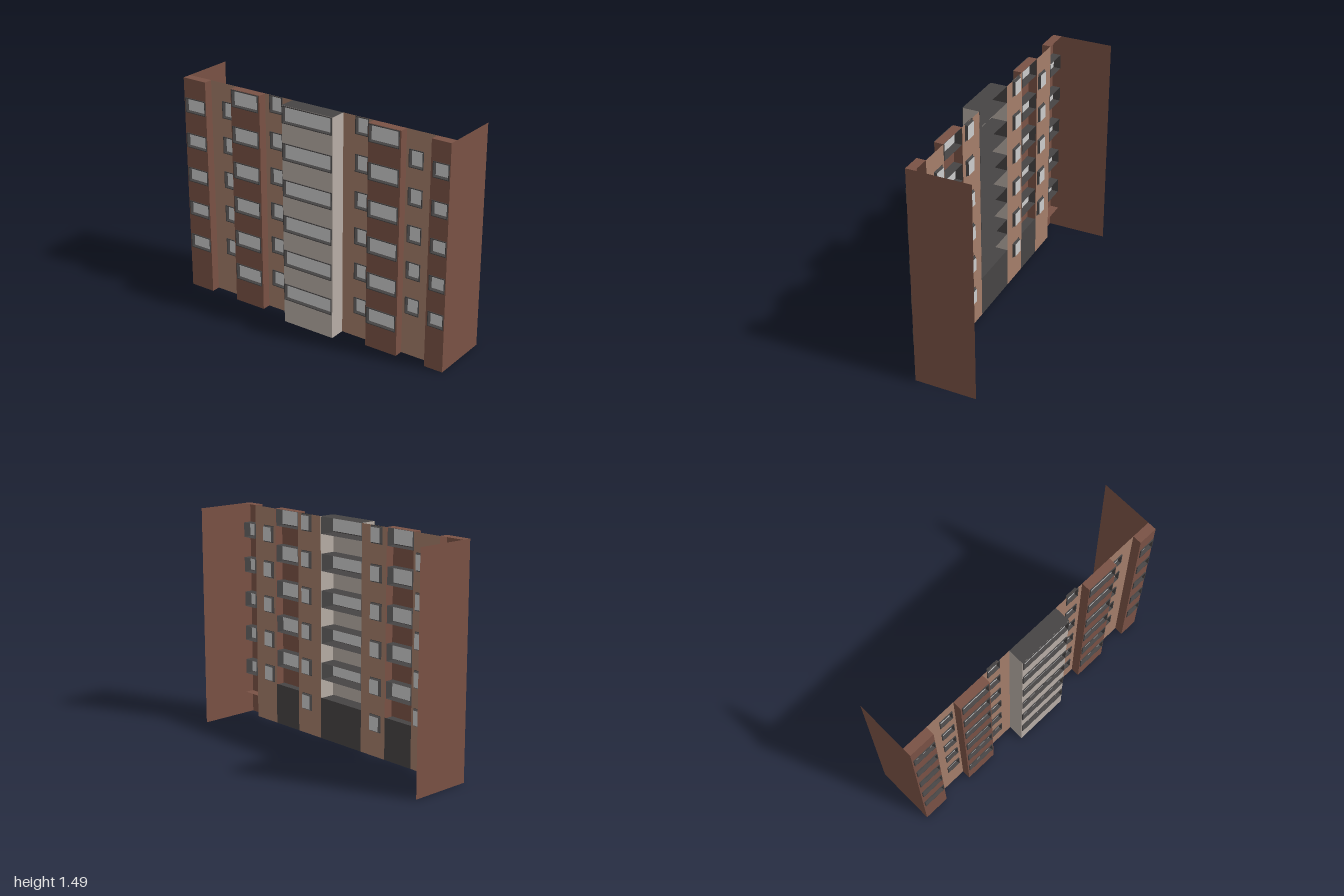
import * as THREE from 'three';

const mat = (color) => new THREE.MeshStandardMaterial({ color, side: THREE.DoubleSide, flatShading: true });
const H = 1.49, WALL = 0.12, BACK = -0.235, STEP = 0.242;

export function createModel() {
  const root = new THREE.Group();
  root.name = 'apartmentFacade';
  const lightBrick = mat(0xa47e6a), darkBrick = mat(0x7a5245), plaster = mat(0xb8aea6);
  const frameMat = mat(0x464444), glassMat = mat(0xcccccc);

  const add = (geo, material, name, parent = root) => {
    const m = new THREE.Mesh(geo, material);
    m.name = name;
    parent.add(m);
    return m;
  };

  // Upright panel facing the front, with rectangular openings [x0, x1, y0, y1]
  function panel(x0, x1, y0, y1, z, material, name, parent, holes = []) {
    const rect = (P, a, b, c, d) => new P().moveTo(a, c).lineTo(b, c).lineTo(b, d).lineTo(a, d).closePath();
    const shape = rect(THREE.Shape, x0, x1, y0, y1);
    holes.forEach((h) => shape.holes.push(rect(THREE.Path, ...h)));
    return add(new THREE.ShapeGeometry(shape), material, name, parent).position.z = z;
  }

  // Upright panel facing sideways
  function sidePanel(x, z0, z1, material, name, parent) {
    const m = add(new THREE.PlaneGeometry(z1 - z0, H), material, name, parent);
    m.rotation.y = x < 0 ? -Math.PI / 2 : Math.PI / 2;
    m.position.set(x, H / 2, (z0 + z1) / 2);
  }

  // Horizontal panel
  function slab(x0, x1, z0, z1, y, material, name, parent) {
    const m = add(new THREE.PlaneGeometry(x1 - x0, z1 - z0), material, name, parent);
    m.rotation.x = -Math.PI / 2;
    m.position.set((x0 + x1) / 2, y, (z0 + z1) / 2);
  }

  // Skin through a row of rectangular rings [x0, x1, y0, y1, z]
  function loft(rings) {
    const pos = [];
    const corners = rings.map(([a, b, c, d, z]) => [[a, c, z], [b, c, z], [b, d, z], [a, d, z]]);
    for (let r = 0; r + 1 < corners.length; r++) {
      for (let i = 0; i < 4; i++) {
        const j = (i + 1) % 4, p = corners[r], q = corners[r + 1];
        pos.push(...p[i], ...p[j], ...q[j], ...p[i], ...q[j], ...q[i]);
      }
    }
    const g = new THREE.BufferGeometry();
    g.setAttribute('position', new THREE.Float32BufferAttribute(pos, 3));
    g.computeVertexNormals();
    return g;
  }

  // Window: raised rim, tapering reveal and recessed glass
  function window_([x0, x1, y0, y1], z, parent, depth) {
    const ring = (d, zz) => [x0 + d, x1 - d, y0 + d, y1 - d, zz];
    const g = new THREE.Group();
    g.name = 'window';
    parent.add(g);
    add(loft([ring(0, z), ring(0, z + 0.006), ring(0.005, z + 0.006), ring(0.01, z - 0.015)]), frameMat, 'windowFrame', g);
    panel(x0 + 0.01, x1 - 0.01, y0 + 0.01, y1 - 0.01, z - 0.015, glassMat, 'windowGlass', g);
    // deep lining running back to the wall line
    if (depth) add(loft([ring(0, z), ring(0, z - depth)]), frameMat, 'windowLining', g);
  }

  // Openings of one column of windows
  const column = (x0, x1, y0, h, rows) =>
    Array.from({ length: rows }, (_, i) => [x0, x1, y0 + i * STEP, y0 + i * STEP + h]);

  // Projecting bays
  const bays = [
    { name: 'rightEndBay', x: [-1, -0.82], z: 0.18, win: [-0.99, -0.825], end: true },
    { name: 'rightBay', x: [-0.61, -0.38], z: 0.18, win: [-0.6, -0.39] },
    { name: 'centreBay', x: [-0.165, 0.215], z: 0.23, win: [-0.162, 0.21], material: plaster, cap: frameMat },
    { name: 'leftBay', x: [0.435, 0.665], z: 0.18, win: [0.44, 0.655] },
    { name: 'leftEndBay', x: [0.87, 1], z: 0.18, win: [0.885, 0.995], end: true },
  ];
  for (const { name, x: [x0, x1], z, win, end, material = darkBrick, cap = material } of bays) {
    const bay = new THREE.Group();
    bay.name = name;
    root.add(bay);
    const holes = end ? column(...win, 0.29, 0.1, 5) : column(...win, 0.165, 0.113, 6);
    panel(x0, x1, 0, H, z, material, 'bayFront', bay, holes);
    for (const x of [x0, x1]) if (Math.abs(x) < 1) sidePanel(x, WALL, z, material, 'baySide', bay);
    slab(x0, x1, WALL, z, H, cap, 'bayTop', bay);
    slab(x0, x1, WALL, z, end ? 0.15 : 0, cap, 'bayFloor', bay);
    holes.forEach((h) => window_(h, z, bay, z - WALL));
    // closed ground storey behind the bay
    if (!end) panel(x0, x1, 0, 0.28, WALL, frameMat, 'groundPanel', bay);
  }

  // Flat walls between the bays, each with one column of small windows
  const walls = [
    [-0.82, -0.61, column(-0.73, -0.63, 0.285, 0.115, 5)],
    [-0.38, -0.165, column(-0.345, -0.245, 0.165, 0.114, 6)],
    [0.215, 0.435, column(0.305, 0.4, 0.165, 0.114, 6)],
    [0.665, 0.87, column(0.685, 0.785, 0.285, 0.115, 5)],
  ];
  for (const [x0, x1, holes] of walls) {
    const wall = new THREE.Group();
    wall.name = 'flatWall';
    root.add(wall);
    panel(x0, x1, 0, H, WALL, lightBrick, 'wallPanel', wall, holes);
    holes.forEach((h) => window_(h, WALL, wall, 0));
  }

  // Blank end walls running to the back
  for (const x of [-1, 1]) sidePanel(x, BACK, 0.18, darkBrick, x < 0 ? 'rightEndWall' : 'leftEndWall');
  return root;
}
